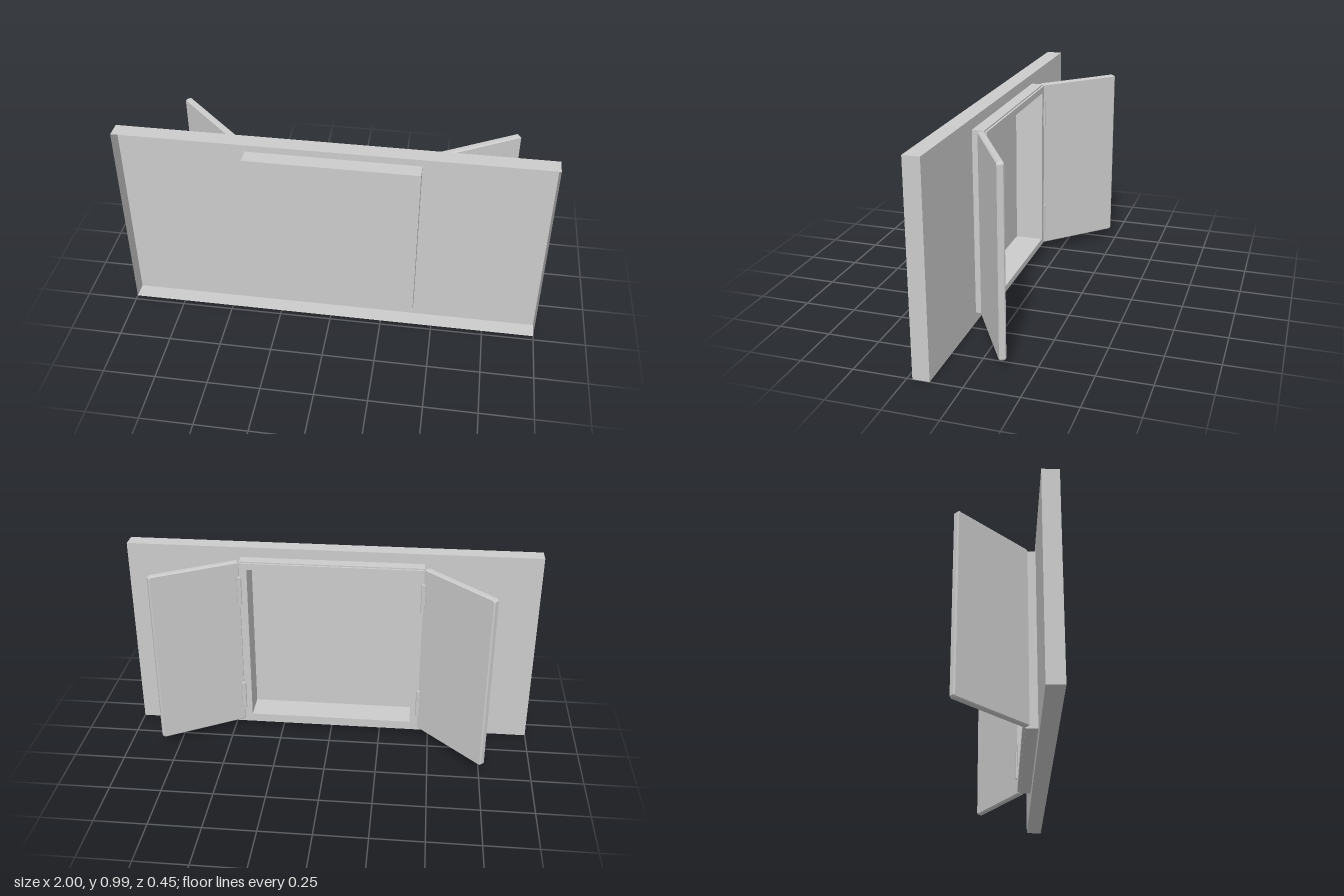
import * as THREE from 'three';

const CY = 0.4925; // shared centre height
const solid = new THREE.MeshStandardMaterial({ color: 0xcccccc, flatShading: true });
const skin = new THREE.MeshStandardMaterial({ color: 0xcccccc, flatShading: true, side: THREE.DoubleSide });

function add(parent, name, geometry, material = solid) {
  const mesh = new THREE.Mesh(geometry, material);
  mesh.name = name;
  parent.add(mesh);
  return mesh;
}

// rectangle centred on cx, cy with optional cut corners
function rect(w, h, cx = 0, cy = CY, cut = 0, Type = THREE.Shape) {
  const x = w / 2, y = h / 2;
  const pts = cut
    ? [[-x + cut, -y], [x - cut, -y], [x, -y + cut], [x, y - cut], [x - cut, y], [-x + cut, y], [-x, y - cut], [-x, -y + cut]]
    : [[-x, -y], [x, -y], [x, y], [-x, y]];
  return new Type(pts.map(([px, py]) => new THREE.Vector2(px + cx, py + cy)));
}

function ring(w, h, holeW, holeH) {
  const shape = rect(w, h);
  shape.holes.push(rect(holeW, holeH, 0, CY, 0, THREE.Path));
  return shape;
}

// four thin sides of a box that is open front and back
function addSides(parent, name, w, h, z0, z1) {
  const d = z1 - z0, zc = (z0 + z1) / 2;
  for (const s of [-1, 1]) {
    const side = add(parent, name + 'Side', new THREE.PlaneGeometry(d, h), skin);
    side.rotation.y = s * Math.PI / 2;
    side.position.set(s * w / 2, CY, zc);
    const edge = add(parent, name + (s > 0 ? 'Top' : 'Bottom'), new THREE.PlaneGeometry(w, d), skin);
    edge.rotation.x = -s * Math.PI / 2;
    edge.position.set(0, CY + s * h / 2, zc);
  }
}

export function createModel() {
  const model = new THREE.Group();
  model.name = 'wallWindow';
  const holeW = 0.81, holeH = 0.81;
  const wallBack = 0.147, wallFront = 0.225;

  // wall: a thin shell, open at the front
  const wall = new THREE.Group();
  wall.name = 'wall';
  model.add(wall);
  add(wall, 'wallPanel', new THREE.ShapeGeometry(ring(2, 0.985, holeW, holeH)), skin).position.z = wallBack;
  addSides(wall, 'wall', 2, 0.985, wallBack, wallFront);

  // recess reaching through the wall to a closed panel
  const recess = new THREE.Group();
  recess.name = 'recess';
  model.add(recess);
  addSides(recess, 'recess', holeW, holeH, wallBack, 0.222);
  add(recess, 'recessPanel', new THREE.PlaneGeometry(holeW, holeH), skin).position.set(0, CY, 0.222);

  // frame with a slightly smaller rim on its back
  const frame = new THREE.Group();
  frame.name = 'frame';
  model.add(frame);
  const slab = (shape, depth) => new THREE.ExtrudeGeometry(shape, { depth, bevelEnabled: false });
  add(frame, 'frameBody', slab(ring(0.886, 0.885, holeW, holeH), wallBack - 0.09)).position.z = 0.09;
  add(frame, 'frameRim', slab(ring(0.874, 0.873, holeW, holeH), 0.01)).position.z = 0.08;

  // shutters, each opened to its own angle, with two hinges
  const length = 0.445, thick = 0.032, bevel = 0.006;
  for (const [side, degrees] of [[1, 30], [-1, 45]]) {
    const prefix = side > 0 ? 'left' : 'right';
    const shutter = new THREE.Group();
    shutter.name = prefix + 'Shutter';
    shutter.position.set(side * 0.439, 0, 0.09);
    shutter.rotation.y = side * THREE.MathUtils.degToRad(degrees);
    model.add(shutter);
    const outline = rect(length - 2 * bevel, 0.885 - 2 * bevel, side * length / 2, CY, 0.006);
    add(shutter, prefix + 'ShutterPanel', new THREE.ExtrudeGeometry(outline, {
      depth: thick - 2 * bevel, bevelEnabled: true, bevelThickness: bevel, bevelSize: bevel, bevelSegments: 1,
    })).position.z = bevel;

    for (const y of [0.2, 0.785]) {
      const hinge = add(model, prefix + 'Hinge', new THREE.CylinderGeometry(0.012, 0.012, 0.145, 8));
      hinge.position.set(side * 0.443, y, 0.082);
    }
  }
  return model;
}
